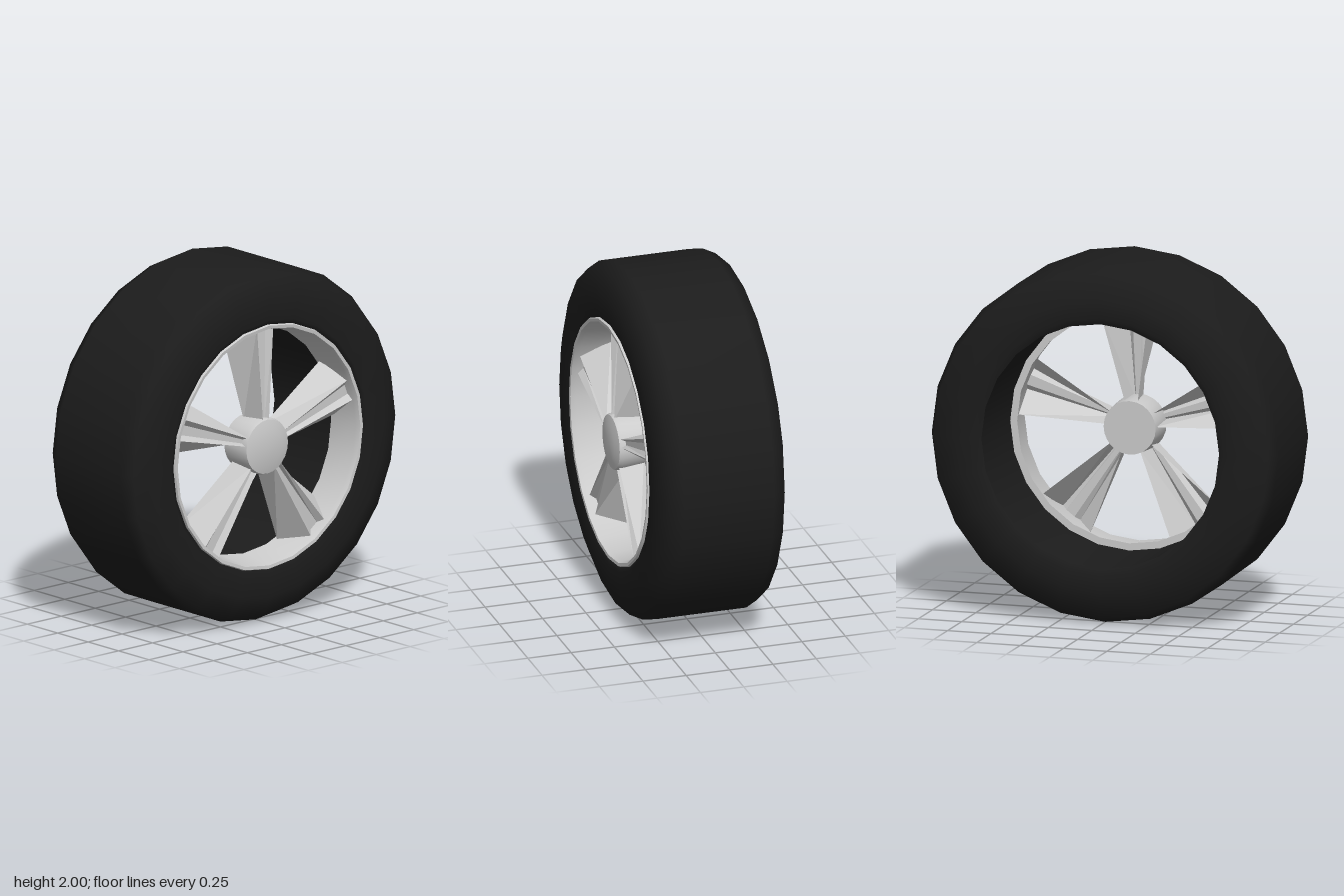
import * as THREE from 'three';
import { toCreasedNormals } from 'three/addons/utils/BufferGeometryUtils.js';

const SIDES = 24;

// Turns a [radius, x] profile around the wheel axle (the x axis)
function turned(profile, sides, crease) {
  const points = profile.map(([r, x]) => new THREE.Vector2(r, x));
  const geometry = new THREE.LatheGeometry(points, sides, Math.PI / 2);
  geometry.rotateZ(-Math.PI / 2);
  return crease ? toCreasedNormals(geometry, crease) : geometry;
}

// Open, ridged spoke channel pointing up, from matching hub and rim cross-sections.
// Each half section runs edge, ridge, groove as [sideways, radius, x].
function spokeGeometry(hub, rim) {
  const mirror = (half) => [...half, ...half.map(([z, r, x]) => [-z, r, x]).reverse()];
  const a = mirror(hub), b = mirror(rim);
  const positions = [];
  const put = ([z, r, x]) => positions.push(x, r, z);
  for (let i = 0; i < a.length - 1; i++) {
    [a[i], b[i], b[i + 1], a[i], b[i + 1], a[i + 1]].forEach(put);
  }
  const geometry = new THREE.BufferGeometry();
  geometry.setAttribute('position', new THREE.Float32BufferAttribute(positions, 3));
  geometry.computeVertexNormals();
  return geometry;
}

export function createModel() {
  const wheel = new THREE.Group();
  wheel.name = 'wheel';
  const rubber = new THREE.MeshStandardMaterial({ color: 0x1c1c1c });
  const metal = new THREE.MeshStandardMaterial({ color: 0xcccccc });
  const thinMetal = new THREE.MeshStandardMaterial({ color: 0xcccccc, side: THREE.DoubleSide });

  const add = (name, geometry, material, parent = wheel) => {
    const mesh = new THREE.Mesh(geometry, material);
    mesh.name = name;
    parent.add(mesh);
    return mesh;
  };

  // Tyre with rounded shoulders and an open bore
  add('tyre', turned([
    [0.685, -0.35], [0.72, -0.37], [0.82, -0.375], [0.965, -0.33], [1, -0.26],
    [1, 0.26], [0.965, 0.33], [0.85, 0.375], [0.72, 0.37], [0.685, 0.355], [0.685, -0.35],
  ], SIDES), rubber);

  // Short tapered rim barrel with a rolled lip on the outer side
  add('rim', turned([
    [0.645, 0.16], [0.69, 0.16], [0.697, 0.355], [0.69, 0.372],
    [0.672, 0.37], [0.664, 0.34], [0.645, 0.16],
  ], SIDES, 0.9), metal);

  // Hub with a slightly domed cap
  add('hub', turned([
    [0, 0.17], [0.15, 0.17], [0.16, 0.335], [0.153, 0.355], [0.1, 0.368], [0, 0.372],
  ], SIDES, 0.9), metal);

  // Five flared spokes with twin ridges and a central groove
  const geometry = spokeGeometry(
    [[0.035, 0.13, 0.2], [0.021, 0.13, 0.345], [0.01, 0.13, 0.32]],
    [[0.17, 0.625, 0.18], [0.062, 0.66, 0.335], [0.03, 0.66, 0.305]],
  );
  const spokes = new THREE.Group();
  spokes.name = 'spokes';
  for (let i = 0; i < 5; i++) {
    add('spoke', geometry, thinMetal, spokes).rotation.x = (i * Math.PI * 2) / 5;
  }
  wheel.add(spokes);

  // Stand the wheel on the ground
  wheel.position.y = 1;
  const model = new THREE.Group();
  model.name = 'model';
  model.add(wheel);
  return model;
}
